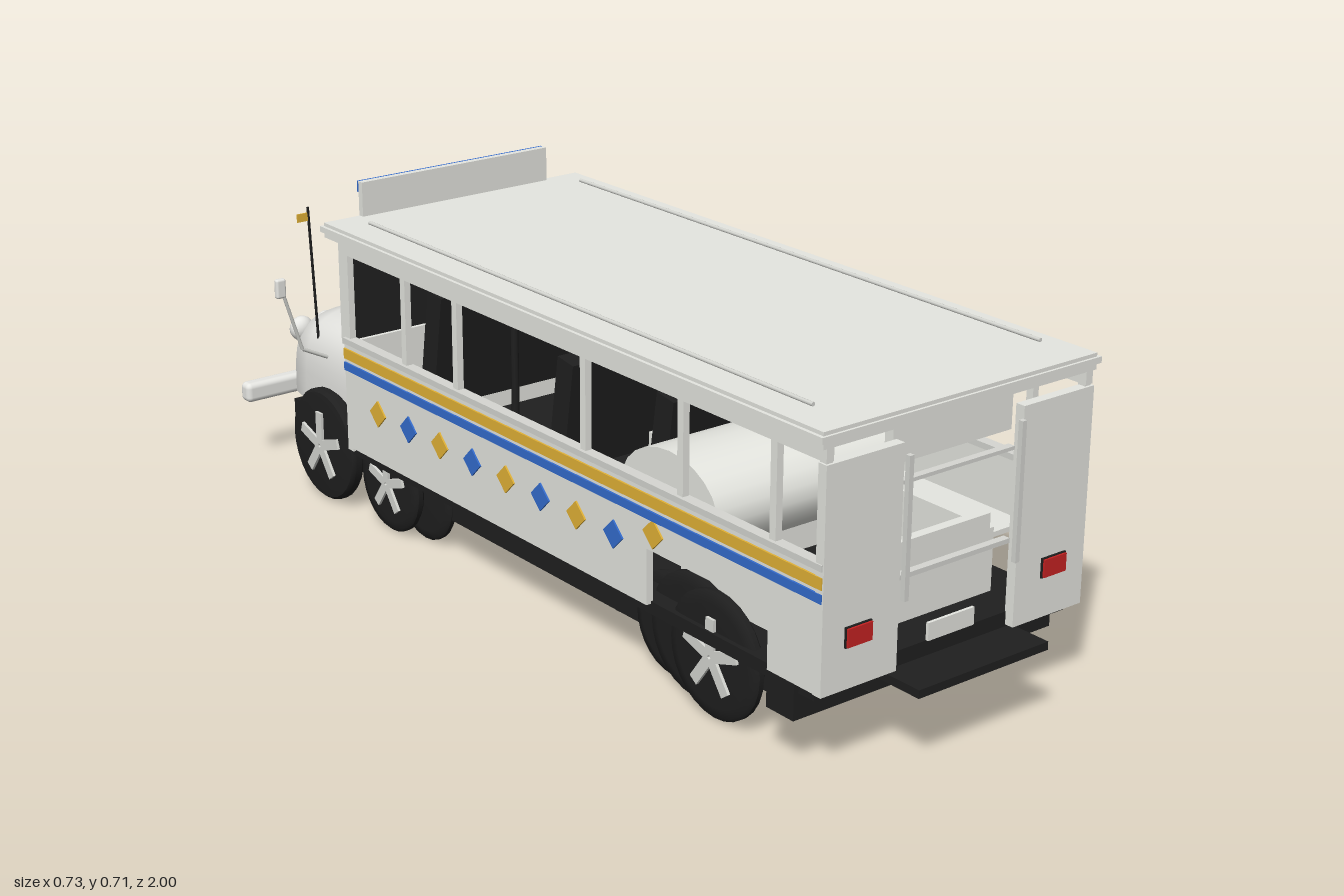
import * as THREE from 'three';
import { toCreasedNormals } from 'three/addons/utils/BufferGeometryUtils.js';
import { ParametricGeometry } from 'three/addons/geometries/ParametricGeometry.js';
import { RoundedBoxGeometry } from 'three/addons/geometries/RoundedBoxGeometry.js';

const mat = (name, color, side = THREE.FrontSide) => {
  const m = new THREE.MeshStandardMaterial({ color, side });
  m.name = name;
  return m;
};

export function createModel() {
  const model = new THREE.Group();
  model.name = 'tourBus';
  const body = mat('body grey', 0xe6e7e1);
  const white = mat('enamel white', 0xecece8, THREE.DoubleSide);
  const black = mat('black', 0x1f1f1f);
  const blue = mat('blue', 0x346cce);
  const yellow = mat('yellow', 0xe2b236);
  const red = mat('red', 0xc62222);
  const trim = mat('trim grey', 0xd6d7d2);

  const add = (name, geo, m, x = 0, y = 0, z = 0) => {
    const mesh = new THREE.Mesh(geo, m);
    mesh.name = name;
    mesh.position.set(x, y, z);
    model.add(mesh);
    return mesh;
  };
  // box given by its limits on each axis
  const box = (name, m, x0, x1, y0, y1, z0, z1) =>
    add(name, new THREE.BoxGeometry(x1 - x0, y1 - y0, z1 - z0), m, (x0 + x1) / 2, (y0 + y1) / 2, (z0 + z1) / 2);
  // the same box on both sides
  const pair = (name, m, x0, x1, ...rest) => {
    box(name, m, x0, x1, ...rest);
    box(name, m, -x1, -x0, ...rest);
  };
  const rod = (name, m, a, b, r) => {
    const A = new THREE.Vector3(...a), B = new THREE.Vector3(...b), d = B.clone().sub(A);
    const mesh = add(name, new THREE.CylinderGeometry(r, r, d.length(), 8), m);
    mesh.position.copy(A).add(B).multiplyScalar(0.5);
    mesh.quaternion.setFromUnitVectors(new THREE.Vector3(0, 1, 0), d.normalize());
  };

  // chassis and floor
  box('floor', black, -0.3, 0.3, 0.15, 0.175, -0.54, 0.9);
  box('chassis', black, -0.235, 0.235, 0.072, 0.155, -0.8, 0.79);
  box('frontChassis', black, -0.235, 0.235, 0.105, 0.16, -0.885, -0.8);
  box('rearChassis', black, -0.31, 0.31, 0.1, 0.17, 0.79, 0.86);
  box('rearSill', black, -0.15, 0.15, 0.155, 0.195, 0.84, 0.91);
  box('rearStep', black, -0.155, 0.155, 0.15, 0.166, 0.9, 1.0);

  // side walls, raised over the rear wheels
  for (const [z0, z1, y0] of [[-0.54, 0.46, 0.17], [0.46, 0.79, 0.28], [0.79, 0.925, 0.17]])
    pair('sideWall', body, 0.295, 0.31, y0, 0.4, z0, z1);
  pair('wheelHouse', body, 0.205, 0.215, 0.17, 0.3, 0.44, 0.8);
  pair('wheelHouseTop', body, 0.205, 0.3, 0.28, 0.29, 0.44, 0.8);
  pair('windowSill', trim, 0.292, 0.315, 0.398, 0.41, -0.54, 0.925);
  pair('yellowStripe', yellow, 0.31, 0.314, 0.365, 0.387, -0.54, 0.925);
  pair('blueStripe', blue, 0.31, 0.314, 0.34, 0.357, -0.54, 0.925);
  pair('windowHeader', body, 0.294, 0.31, 0.588, 0.615, -0.54, 0.925);
  for (const z of [0.915, 0.795, 0.55, 0.27, -0.14, -0.32, -0.53])
    pair('windowPost', body, 0.294, 0.308, 0.4, 0.6, z - 0.008, z + 0.008);

  // diamonds
  const diamond = (m, y, z) => {
    for (const s of [1, -1]) {
      const d = add('diamond', new THREE.BoxGeometry(0.005, 0.04, 0.04), m, s * 0.311, y, z);
      d.rotation.x = Math.PI / 4;
    }
  };
  for (let i = 0; i < 8; i++) diamond(i % 2 ? yellow : blue, 0.277, 0.365 - i * 0.112);
  diamond(yellow, 0.315, 0.48);

  // roof
  box('roof', body, -0.318, 0.318, 0.612, 0.643, -0.59, 0.925);
  box('roofGutter', body, -0.325, 0.325, 0.624, 0.636, -0.595, 0.93);
  for (const s of [1, -1]) rod('roofRail', trim, [s * 0.265, 0.654, 0.84], [s * 0.265, 0.654, -0.5], 0.004);

  // destination board
  box('signBoard', body, -0.232, 0.232, 0.643, 0.715, -0.592, -0.578);
  box('signBand', blue, -0.232, 0.232, 0.692, 0.715, -0.597, -0.592);
  for (const x of [-0.13, 0, 0.13]) box('signSlot', black, x - 0.04, x + 0.04, 0.66, 0.678, -0.597, -0.592);

  // rear end
  pair('rearPanel', body, 0.14, 0.312, 0.17, 0.585, 0.908, 0.928);
  pair('tailLight', red, 0.205, 0.26, 0.25, 0.284, 0.928, 0.936);
  pair('tailLightRim', black, 0.203, 0.262, 0.248, 0.286, 0.928, 0.932);
  box('rearHeader', body, -0.14, 0.14, 0.535, 0.615, 0.88, 0.9);
  box('rearGate', body, -0.205, 0.205, 0.175, 0.33, 0.78, 0.8);
  box('gateRail', trim, -0.14, 0.14, 0.326, 0.335, 0.895, 0.91);
  box('upperRail', trim, -0.14, 0.14, 0.5, 0.507, 0.895, 0.91);
  box('numberPlate', body, -0.055, 0.055, 0.196, 0.23, 0.91, 0.916);
  pair('grabRail', trim, 0.127, 0.137, 0.3, 0.563, 0.928, 0.938);

  // windscreen
  const screen = box('windscreen', black, -0.285, 0.285, 0.4, 0.585, -0.552, -0.546);
  screen.rotation.x = -0.1;
  pair('windscreenPost', body, 0.285, 0.305, 0.39, 0.612, -0.56, -0.54);
  box('frontBulkhead', body, -0.305, 0.305, 0.16, 0.4, -0.55, -0.53);

  // bonnet: half-round sections [z, half width, top]
  const sections = [[-0.54, 0.24, 0.395], [-0.7, 0.235, 0.38], [-0.86, 0.218, 0.355], [-0.925, 0.205, 0.335],
    [-0.953, 0.18, 0.31], [-0.955, 0, 0.16]];
  const bonnet = new ParametricGeometry((u, v, p) => {
    const [z, w, top] = sections[Math.min(5, Math.round(v * 5))];
    const c = Math.cos(u * Math.PI), s = Math.sin(u * Math.PI);
    p.set(Math.sign(c) * w * Math.abs(c) ** 0.5, 0.16 + (top - 0.16) * Math.max(0, s) ** 0.5, z);
  }, 28, 5);
  add('bonnet', toCreasedNormals(bonnet, 0.9), white);

  // grille, lamps, bumper
  box('grille', black, -0.16, 0.16, 0.165, 0.28, -0.962, -0.95);
  for (let i = 0; i < 11; i++) {
    const x = -0.15 + i * 0.03;
    box('grilleBar', trim, x - 0.005, x + 0.005, 0.175, 0.285, -0.968, -0.958);
  }
  for (const x of [-0.178, -0.115, 0.115, 0.178]) {
    const lamp = add('headlamp', new THREE.SphereGeometry(0.028, 16, 10), white, x, 0.297, -0.938);
    lamp.scale.z = 0.8;
  }
  add('frontBumper', new RoundedBoxGeometry(0.62, 0.044, 0.036, 3, 0.012), white, 0, 0.164, -0.974);
  box('frontPlate', trim, -0.06, 0.06, 0.145, 0.18, -0.998, -0.99);
  pair('bumperBracket', black, 0.1, 0.13, 0.12, 0.16, -0.97, -0.86);

  // winged ornament
  for (const s of [1, -1]) {
    rod('ornamentWing', trim, [0, 0.365, -0.89], [s * 0.05, 0.4, -0.875], 0.007);
    rod('ornamentTail', trim, [0, 0.36, -0.87], [0, 0.39, -0.93], 0.007);
  }

  // mirrors and flag masts
  for (const s of [1, -1]) {
    rod('mirrorArm', trim, [s * 0.24, 0.3, -0.73], [s * 0.3, 0.33, -0.73], 0.004);
    rod('mirrorArm', trim, [s * 0.3, 0.33, -0.73], [s * 0.345, 0.46, -0.72], 0.004);
    const x = s > 0 ? 0.265 : -0.225;
    rod('flagMast', black, [s * 0.2, 0.3, -0.83], [x, 0.61, -0.81], 0.003);
    box('flag', yellow, x + s * 0.013 - 0.013, x + s * 0.013 + 0.013, 0.58, 0.598, -0.813, -0.81);
    add('mirror', new RoundedBoxGeometry(0.023, 0.042, 0.014, 2, 0.005), white, s * 0.351, 0.476, -0.722);
  }

  // wheels
  const wheel = (r, w, x, y, z, spokes) => {
    const g = new THREE.Group();
    g.name = 'wheel';
    const profile = [[0, -0.5], [0.8, -0.5], [0.95, -0.42], [1, -0.2], [1, 0.2], [0.95, 0.42], [0.8, 0.5], [0, 0.5]]
      .map(([a, b]) => new THREE.Vector2(a * r, b * w));
    const tyre = new THREE.Mesh(toCreasedNormals(new THREE.LatheGeometry(profile, 28), 0.7), black);
    tyre.name = 'tyre';
    g.add(tyre);
    for (let i = 0; i < spokes; i++) {
      const a = i * 2 * Math.PI / spokes;
      const spoke = new THREE.Mesh(new THREE.BoxGeometry(r * 0.58, 0.008, r * 0.18), trim);
      spoke.name = 'spoke';
      spoke.position.set(Math.cos(a) * r * 0.32, w / 2 + 0.002, -Math.sin(a) * r * 0.32);
      spoke.rotation.y = a;
      g.add(spoke);
    }
    g.rotation.z = x < 0 ? Math.PI / 2 : -Math.PI / 2;
    g.position.set(x, y, z);
    model.add(g);
  };
  for (const s of [1, -1]) {
    wheel(0.122, 0.035, s * 0.272, 0.124, -0.685, 5);
    wheel(0.105, 0.025, s * 0.262, 0.107, -0.45, 5);
    wheel(0.1, 0.022, s * 0.232, 0.102, -0.37, 0);
    wheel(0.122, 0.025, s * 0.278, 0.124, 0.62, 5);
    wheel(0.12, 0.024, s * 0.253, 0.122, 0.53, 0);
    wheel(0.102, 0.022, s * 0.23, 0.104, 0.44, 0);
  }
  for (const [x, z] of [[0.335, 0.16], [-0.14, 0.16], [0, -0.2]]) wheel(0.082, 0.018, x, 0.084, z, 0);

  // small carrier built into the middle: mudguard, skirt, canopy, seats
  const guard = add('mudguard', new THREE.CylinderGeometry(0.103, 0.103, 0.055, 24, 1, true, 0.22, Math.PI - 0.44), white, 0.333, 0.095, 0.15);
  guard.rotation.z = Math.PI / 2;
  const lip = add('mudguardLip', new THREE.TorusGeometry(0.099, 0.003, 6, 24, Math.PI - 0.44), black, 0.356, 0.095, 0.15);
  lip.rotation.set(0.22, Math.PI / 2, 0, 'YXZ');
  lip.rotation.set(0, Math.PI / 2, 0.22);
  add('carrierSkirt', new RoundedBoxGeometry(0.065, 0.105, 0.47, 3, 0.02), white, 0.273, 0.1475, 0.045);
  box('skirtYellowStripe', yellow, 0.304, 0.315, 0.187, 0.203, -0.14, 0.27);
  box('skirtBlueStripe', blue, 0.304, 0.315, 0.163, 0.176, -0.14, 0.27);
  box('canopy', blue, -0.25, 0.334, 0.565, 0.58, -0.24, 0.375);
  box('canopyTop', body, -0.24, 0.327, 0.58, 0.587, -0.235, 0.37);
  box('carrierPanel', body, 0.04, 0.24, 0.4, 0.56, 0.045, 0.275);
  box('carrierBody', body, -0.14, 0.26, 0.17, 0.4, 0.25, 0.45);
  const hump = add('carrierBack', new THREE.CylinderGeometry(0.1, 0.1, 0.44, 24), body, 0, 0.33, 0.41);
  hump.rotation.z = Math.PI / 2;
  hump.scale.z = 1.4;
  for (const [z, top] of [[0.305, 0.495], [0, 0.48], [-0.45, 0.5]]) {
    const seat = box('seatBack', black, -0.16, 0.22, 0.25, top, z - 0.025, z + 0.025);
    seat.rotation.x = 0.15;
  }
  for (const x of [-0.16, 0.22]) rod('canopyPost', black, [x, 0.18, -0.15], [x, 0.57, -0.15], 0.008);

  return model;
}
